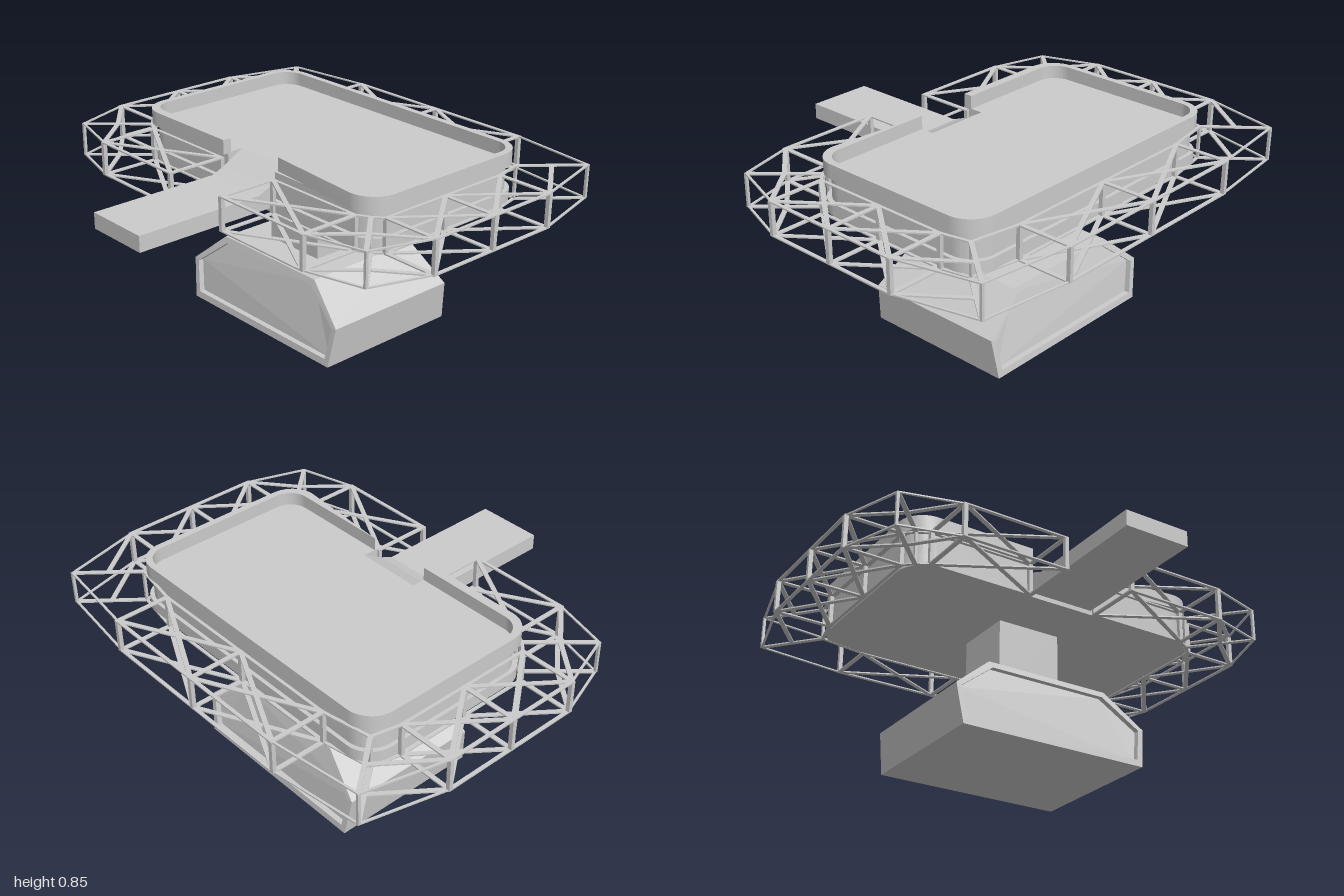
import * as THREE from 'three';
import { toCreasedNormals } from 'three/addons/utils/BufferGeometryUtils.js';

const material = new THREE.MeshStandardMaterial({ color: 0xcccccc });

function addMesh(parent, name, geometry) {
  const mesh = new THREE.Mesh(geometry, material);
  mesh.name = name;
  parent.add(mesh);
  return mesh;
}

// Rounded plan outline; an optional notch of half-width w reaches in to z = notchZ
function plan(x, back, front, r, w = 0, notchZ = front) {
  const s = new THREE.Shape();
  const f = -front, b = -back;
  if (w) { s.moveTo(-w, -notchZ); s.lineTo(w, -notchZ); s.lineTo(w, f); } else s.moveTo(0, f);
  s.lineTo(x - r, f);
  s.absarc(x - r, f + r, r, -Math.PI / 2, 0, false);
  s.absarc(x - r, b - r, r, 0, Math.PI / 2, false);
  s.absarc(-x + r, b - r, r, Math.PI / 2, Math.PI, false);
  s.absarc(-x + r, f + r, r, Math.PI, Math.PI * 1.5, false);
  if (w) s.lineTo(-w, f);
  s.closePath();
  return s;
}

// Extrudes a plan outline from y0 up to y1
function slab(shape, y0, y1) {
  const g = new THREE.ExtrudeGeometry(shape, { depth: y1 - y0, bevelEnabled: false, curveSegments: 8 });
  g.rotateX(-Math.PI / 2).translate(0, y0, 0);
  return toCreasedNormals(g, 0.6);
}

// Base blocks: outline in front view, depth tapering with height
function taperedBlock(points, hole, inset) {
  const toVecs = (list) => [...list, ...list.map(([x, y]) => [-x, y]).reverse()].map(([x, y]) => new THREE.Vector2(x, y));
  const shape = new THREE.Shape(toVecs(points));
  if (hole) shape.holes.push(new THREE.Path(toVecs(hole)));
  const g = new THREE.ExtrudeGeometry(shape, { depth: 2, bevelEnabled: false });
  const p = g.attributes.position;
  for (let i = 0; i < p.count; i++) {
    const y = p.getY(i);
    const half = (y < 0.18 ? 0.345 - 0.11 * y : 0.325 - 0.267 * (y - 0.18)) - inset;
    p.setZ(i, -0.16 + (p.getZ(i) - 1) * half);
  }
  g.computeVertexNormals();
  return g;
}

function buildBase(parent) {
  const outer = [[0.44, 0], [0.465, 0.18], [0.29, 0.33]];
  const inner = [[0.417, 0.03], [0.44, 0.172], [0.275, 0.303]];
  addMesh(parent, 'baseFrame', taperedBlock(outer, inner, 0));
  addMesh(parent, 'baseRecessedPanels', taperedBlock(inner, null, 0.025));
  addMesh(parent, 'column', new THREE.BoxGeometry(0.3, 0.32, 0.28)).position.set(0, 0.47, -0.16);
}

function buildPlatform(parent) {
  addMesh(parent, 'platformUnderside', slab(plan(0.725, -0.635, 0.235, 0.12), 0.62, 0.675));
  addMesh(parent, 'platformFloor', slab(plan(0.708, -0.618, 0.215, 0.11, 0.15, 0.14), 0.67, 0.79));

  // Low wall around the floor, open at the walkway
  const wall = new THREE.Shape();
  const o = { x: 0.73, b: 0.635, f: -0.24, r: 0.12 }, n = { x: 0.7, b: 0.605, f: -0.2, r: 0.09 };
  const H = Math.PI / 2;
  wall.moveTo(0.15, o.f);
  wall.absarc(o.x - o.r, o.f + o.r, o.r, -H, 0, false);
  wall.absarc(o.x - o.r, o.b - o.r, o.r, 0, H, false);
  wall.absarc(-o.x + o.r, o.b - o.r, o.r, H, 2 * H, false);
  wall.absarc(-o.x + o.r, o.f + o.r, o.r, 2 * H, 3 * H, false);
  wall.lineTo(-0.15, o.f);
  wall.lineTo(-0.15, n.f);
  wall.absarc(-n.x + n.r, n.f + n.r, n.r, 3 * H, 2 * H, true);
  wall.absarc(-n.x + n.r, n.b - n.r, n.r, 2 * H, H, true);
  wall.absarc(n.x - n.r, n.b - n.r, n.r, H, 0, true);
  wall.absarc(n.x - n.r, n.f + n.r, n.r, 0, -H, true);
  wall.lineTo(0.15, n.f);
  wall.closePath();
  addMesh(parent, 'perimeterWall', slab(wall, 0.785, 0.85));

  // Walkway with a short ramp up to the floor, drawn in side view
  const side = new THREE.Shape([[0.14, 0.64], [0.89, 0.64], [0.89, 0.71], [0.3, 0.71], [0.24, 0.735], [0.14, 0.79]]
    .map(([z, y]) => new THREE.Vector2(-z, y)));
  const g = new THREE.ExtrudeGeometry(side, { depth: 0.3, bevelEnabled: false });
  g.rotateY(Math.PI / 2).translate(-0.15, 0, 0);
  addMesh(parent, 'walkway', g);
}

// Flat strip between two plan points, on both truss layers
function strip(parent, name, a, b, width = 0.02) {
  const dx = b[0] - a[0], dz = b[1] - a[1];
  for (const y of [0.622, 0.768]) {
    const m = addMesh(parent, name, new THREE.BoxGeometry(Math.hypot(dx, dz), 0.006, width));
    m.position.set((a[0] + b[0]) / 2, y, (a[1] + b[1]) / 2);
    m.rotation.y = -Math.atan2(dz, dx);
  }
}

function post(parent, [x, z], width = 0.018) {
  addMesh(parent, 'trussPost', new THREE.BoxGeometry(width, 0.15, width)).position.set(x, 0.695, z);
}

function buildTruss(parent, s) {
  const P = (x, z) => [s * x, z];
  // Braced bays as pairs of stations, each [outer, inner]
  const runs = [
    [[P(0, -0.89), P(0, -0.648)], [P(0.49, -0.89), P(0.49, -0.648)]],
    [[P(0.99, -0.48), P(0.738, -0.48)], [P(0.99, -0.155), P(0.738, -0.155)], [P(0.99, 0.17), P(0.738, 0.17)]],
    [[P(0.64, 0.505), P(0.64, 0.24)], [P(0.165, 0.505), P(0.165, 0.24)]],
  ];
  for (const run of runs) run.forEach(([outer, inner], i) => {
    strip(parent, 'trussRadial', outer, inner);
    post(parent, outer);
    post(parent, inner);
    if (!i) return;
    const [prevOuter, prevInner] = run[i - 1];
    strip(parent, 'trussOuterChord', prevOuter, outer, 0.016);
    strip(parent, 'trussInnerChord', prevInner, inner, 0.014);
    strip(parent, 'trussDiagonal', prevOuter, inner);
    strip(parent, 'trussDiagonal', prevInner, outer);
  });

  // Corner bays: [bay before, bay after, outer corner, inner corner]
  const corners = [
    [runs[0][1], runs[1][0], P(0.9, -0.84), P(0.71, -0.61)],
    [runs[2][0], runs[1][2], P(0.9, 0.435), P(0.695, 0.21)],
  ];
  corners.forEach(([a, b, outer, inner], i) => {
    const mid = [(outer[0] + inner[0]) / 2, (outer[1] + inner[1]) / 2];
    strip(parent, 'trussCornerRadial', outer, inner);
    strip(parent, 'trussCornerBrace', b[0], mid);
    if (i) strip(parent, 'trussCornerBrace', a[0], mid);
    for (const end of [a, b]) {
      strip(parent, 'trussOuterChord', end[0], outer, 0.01);
      strip(parent, 'trussInnerChord', end[1], inner, 0.014);
    }
    post(parent, outer, 0.012);
    post(parent, inner, 0.012);
  });
}

export function createModel() {
  const model = new THREE.Group();
  model.name = 'landingPlatform';
  const addGroup = (name, build, arg) => {
    const g = new THREE.Group();
    g.name = name;
    build(g, arg);
    model.add(g);
  };
  addGroup('base', buildBase);
  addGroup('platform', buildPlatform);
  addGroup('trussLeft', buildTruss, 1);
  addGroup('trussRight', buildTruss, -1);
  return model;
}
